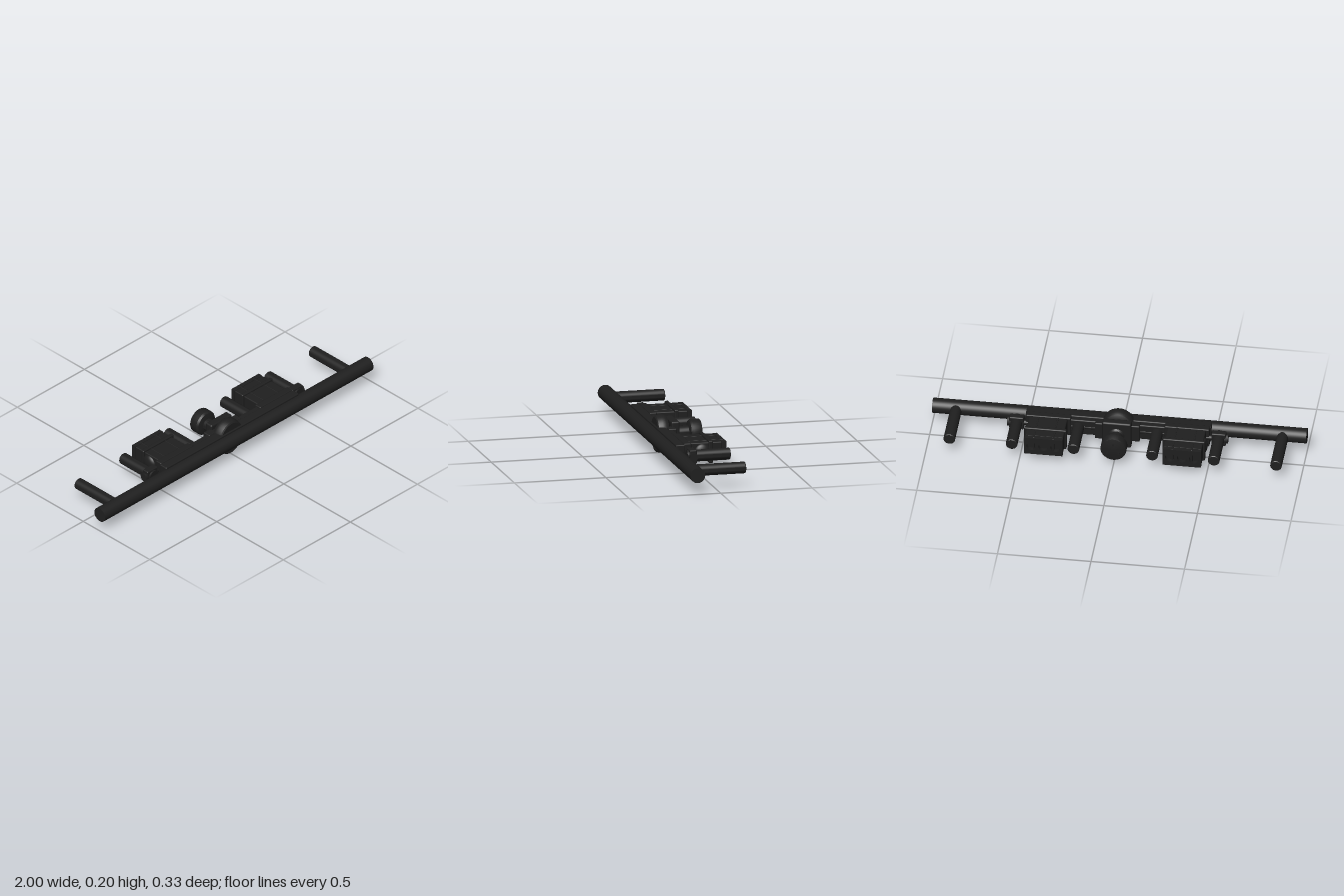
import * as THREE from 'three';
import { RoundedBoxGeometry } from 'three/addons/geometries/RoundedBoxGeometry.js';
import { toCreasedNormals } from 'three/addons/utils/BufferGeometryUtils.js';

const Y = 0.105; // height of the common axis

export function createModel() {
  const model = new THREE.Group();
  model.name = 'gripBar';
  const mat = new THREE.MeshStandardMaterial({ color: 0x1f1f1f });

  const add = (name, geo, x, y, z) => {
    const mesh = new THREE.Mesh(geo, mat);
    mesh.name = name;
    mesh.position.set(x, y, z);
    model.add(mesh);
    return mesh;
  };
  // Box given by centre x, size x, size y and its z range
  const box = (name, x, w, h, z0, z1, r = 0.006) =>
    add(name, new RoundedBoxGeometry(w, h, z1 - z0, 2, r), x, Y, (z0 + z1) / 2);
  // Turned part: points are [radius, z] from back to front, axis along z
  const turned = (name, x, pts, segments = 32) => {
    const geo = new THREE.LatheGeometry(pts.map(([r, z]) => new THREE.Vector2(r, z)), segments);
    return add(name, toCreasedNormals(geo.rotateX(Math.PI / 2), 0.6), x, Y, 0);
  };
  const rod = (name, x, r, z0, z1) => turned(name, x, [
    [0, z0], [r - 0.003, z0], [r, z0 + 0.003], [r, z1], [0, z1],
  ], 24);
  const crossRod = (name, r, length, x, z, segments = 24) =>
    add(name, new THREE.CylinderGeometry(r, r, length, segments).rotateZ(Math.PI / 2), x, Y, z);

  // Long main bar and the backing plates
  crossRod('mainBar', 0.0405, 2, 0, 0.1245, 40);
  box('backingPlate', 0, 0.99, 0.1, 0.065, 0.115);
  box('rearPlate', 0, 0.92, 0.09, 0.035, 0.068);
  box('centrePlate', 0, 0.24, 0.1, 0.015, 0.06);

  // Slightly oval front boss
  turned('centreBoss', 0, [
    [0, 0.036], [0.075, 0.036], [0.094, 0.045], [0.1025, 0.06],
    [0.1025, 0.08], [0.097, 0.102], [0.09, 0.107], [0, 0.107],
  ], 48).scale.x = 0.89;

  // Rear mount: rounded base, neck and knob
  box('mountBase', 0, 0.155, 0.155, -0.011, 0.034, 0.009);
  turned('mountNeck', 0, [[0, -0.09], [0.034, -0.09], [0.034, -0.02], [0.045, -0.008], [0, -0.008]]);
  turned('mountKnob', 0, [
    [0, -0.146], [0.022, -0.145], [0.05, -0.141], [0.066, -0.138], [0.069, -0.133],
    [0.069, -0.09], [0.062, -0.08], [0.037, -0.074], [0, -0.074],
  ], 40);
  for (let i = 0; i < 3; i++) {
    const a = (i / 3) * Math.PI * 2 + Math.PI / 2;
    const pin = new THREE.CylinderGeometry(0.006, 0.006, 0.01, 12).rotateX(Math.PI / 2);
    add('knobPin', pin, Math.cos(a) * 0.035, Y + Math.sin(a) * 0.035, -0.143);
  }

  // Housing end face with three round sockets
  const face = new THREE.Shape();
  face.moveTo(-0.102, -0.051).lineTo(0.102, -0.051).lineTo(0.102, 0.051).lineTo(-0.102, 0.051).closePath();
  for (const x of [-0.064, 0, 0.064]) {
    face.holes.push(new THREE.Path().absarc(x, 0, 0.026, 0, Math.PI * 2, true));
  }
  const faceGeo = new THREE.ExtrudeGeometry(face, { depth: 0.025, bevelEnabled: false, curveSegments: 12 });

  for (const s of [-1, 1]) {
    // Posts reaching backwards
    rod('outerPost', s * 0.873, 0.031, -0.165, 0.11);
    rod('middlePost', s * 0.54, 0.031, -0.165, 0.07);
    rod('innerPost', s * 0.21, 0.031, -0.165, 0.05);

    // Socketed housing with strap and ribs
    box('housing', s * 0.37, 0.204, 0.102, -0.142, 0.045);
    add('housingFace', faceGeo, s * 0.37, Y, -0.165);
    box('housingStrap', s * 0.37, 0.226, 0.122, -0.09, -0.068);
    for (const x of [0.318, 0.422]) box('housingRib', s * x, 0.008, 0.106, -0.16, 0.04, 0.002);
    box('housingFoot', s * 0.37, 0.24, 0.11, 0.03, 0.07);

    // Round side cap bulging from the outer wall
    const cap = add('sideCap', new THREE.SphereGeometry(0.045, 24, 16), s * 0.468, Y, -0.035);
    cap.scale.set(0.5, 1, 1);

    // Pivot pin with its collar at the middle post
    crossRod('pivotPin', 0.014, 0.2, s * 0.49, 0.04);
    crossRod('pivotCollar', 0.024, 0.03, s * 0.575, 0.04, 6);
    box('postClamp', s * 0.54, 0.078, 0.075, 0.022, 0.06);
    crossRod('innerPin', 0.012, 0.2, s * 0.19, 0.045);
  }
  return model;
}
